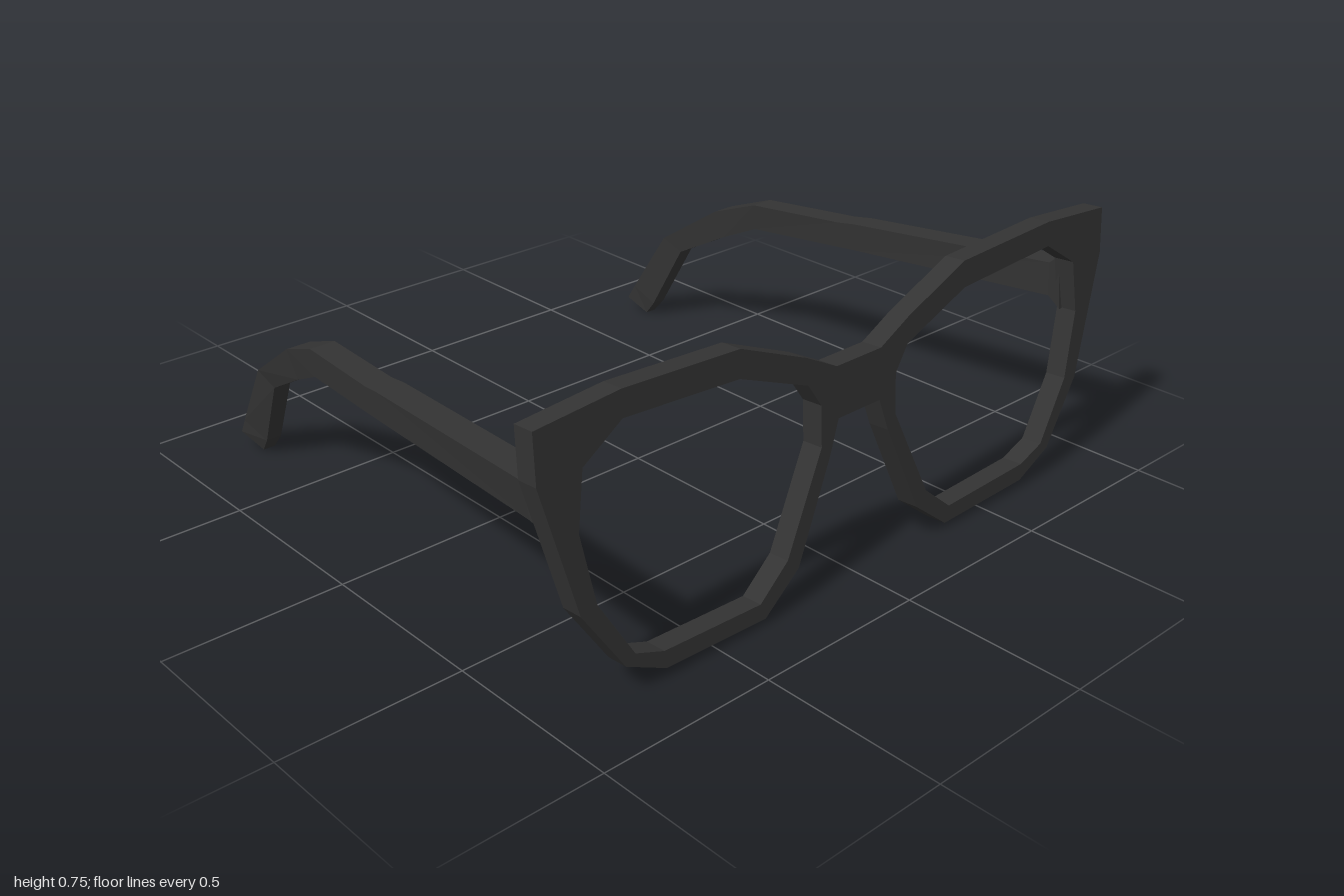
import * as THREE from 'three';

const TILT = 0.07;    // how far the front leans back per unit of height
const DEPTH = 0.06;   // thickness of the front

// Half of the rim outline (+x side), from the top of the bridge round to its underside
const OUTER = [
  [0.08, 0.592], [0.185, 0.645], [0.4, 0.732], [0.755, 0.748], [1, 0.73], [1, 0.602],
  [0.906, 0.26], [0.787, 0.083], [0.666, 0.025], [0.34, 0.016], [0.222, 0.107],
  [0.107, 0.364], [0.075, 0.455],
];

// Lens opening on the +x side
const LENS = [
  [0.757, 0.68], [0.404, 0.66], [0.18, 0.573], [0.136, 0.508], [0.136, 0.398], [0.26, 0.141],
  [0.356, 0.061], [0.67, 0.072], [0.757, 0.104], [0.858, 0.27], [0.896, 0.457], [0.875, 0.605],
];

// Temple sections, hinge to tip:
// top z, top y, bottom z, bottom y, top outer x, top inner x, bottom outer x, bottom inner x
const TEMPLE = [
  [0.745, 0.605, 0.76, 0.452, 0.978, 0.88, 0.945, 0.885],
  [0.71, 0.575, 0.715, 0.477, 0.972, 0.889, 0.958, 0.893],
  [0.06, 0.525, 0.06, 0.44, 0.9, 0.819, 0.89, 0.826],
  [0, 0.516, 0, 0.435, 0.892, 0.814, 0.882, 0.821],
  [-0.317, 0.496, -0.317, 0.414, 0.85, 0.775, 0.842, 0.784],
  [-0.47, 0.438, -0.44, 0.356, 0.831, 0.757, 0.822, 0.768],
  [-0.685, 0.293, -0.617, 0.26, 0.804, 0.733, 0.796, 0.746],
  [-0.81, 0.088, -0.728, 0.046, 0.794, 0.716, 0.774, 0.728],
  [-0.834, 0.042, -0.765, 0, 0.794, 0.708, 0.767, 0.73],
];

// Points of one side; the mirrored ones are reversed so that the winding stays the same
const toVectors = (points, side) => {
  const vectors = points.map(([x, y]) => new THREE.Vector2(side * x, y));
  return side > 0 ? vectors : vectors.reverse();
};

// One flat plate with two openings, leaned back
function frontGeometry() {
  const shape = new THREE.Shape([...toVectors(OUTER, 1), ...toVectors(OUTER, -1)]);
  for (const side of [1, -1]) shape.holes.push(new THREE.Path(toVectors(LENS, side)));
  const geometry = new THREE.ExtrudeGeometry(shape, { depth: DEPTH, bevelEnabled: false });
  const p = geometry.attributes.position;
  for (let i = 0; i < p.count; i++) {
    const y = p.getY(i);
    const back = p.getZ(i) - DEPTH;
    p.setXYZ(i, p.getX(i), y + back * TILT, 0.837 - y * TILT + back);
  }
  geometry.computeVertexNormals();
  return geometry;
}

// Four-sided bar through the temple sections, narrower underneath, with hard edges
function templeGeometry(side) {
  const rings = TEMPLE.map(([zt, yt, zb, yb, topOuter, topInner, lowOuter, lowInner]) => [
    [side * topOuter, yt, zt], [side * topInner, yt, zt],
    [side * lowInner, yb, zb], [side * lowOuter, yb, zb],
  ]);
  const positions = [];
  const quad = (a, b, c, d) => {
    const corners = side > 0 ? [a, b, c, a, c, d] : [a, c, b, a, d, c];
    for (const corner of corners) positions.push(...corner);
  };
  for (let i = 0; i < rings.length - 1; i++) {
    for (let k = 0; k < 4; k++) {
      const n = (k + 1) % 4;
      quad(rings[i][k], rings[i + 1][k], rings[i + 1][n], rings[i][n]);
    }
  }
  quad(...rings[0]);
  quad(...[...rings[rings.length - 1]].reverse());
  const geometry = new THREE.BufferGeometry();
  geometry.setAttribute('position', new THREE.Float32BufferAttribute(positions, 3));
  geometry.computeVertexNormals();
  return geometry;
}

export function createModel() {
  const model = new THREE.Group();
  model.name = 'glassesFrame';
  const material = new THREE.MeshStandardMaterial({ color: 0x333333 });
  material.name = 'charcoal';

  const add = (name, geometry) => {
    const mesh = new THREE.Mesh(geometry, material);
    mesh.name = name;
    model.add(mesh);
  };
  add('frontRims', frontGeometry());
  add('leftTemple', templeGeometry(1));
  add('rightTemple', templeGeometry(-1));
  return model;
}
